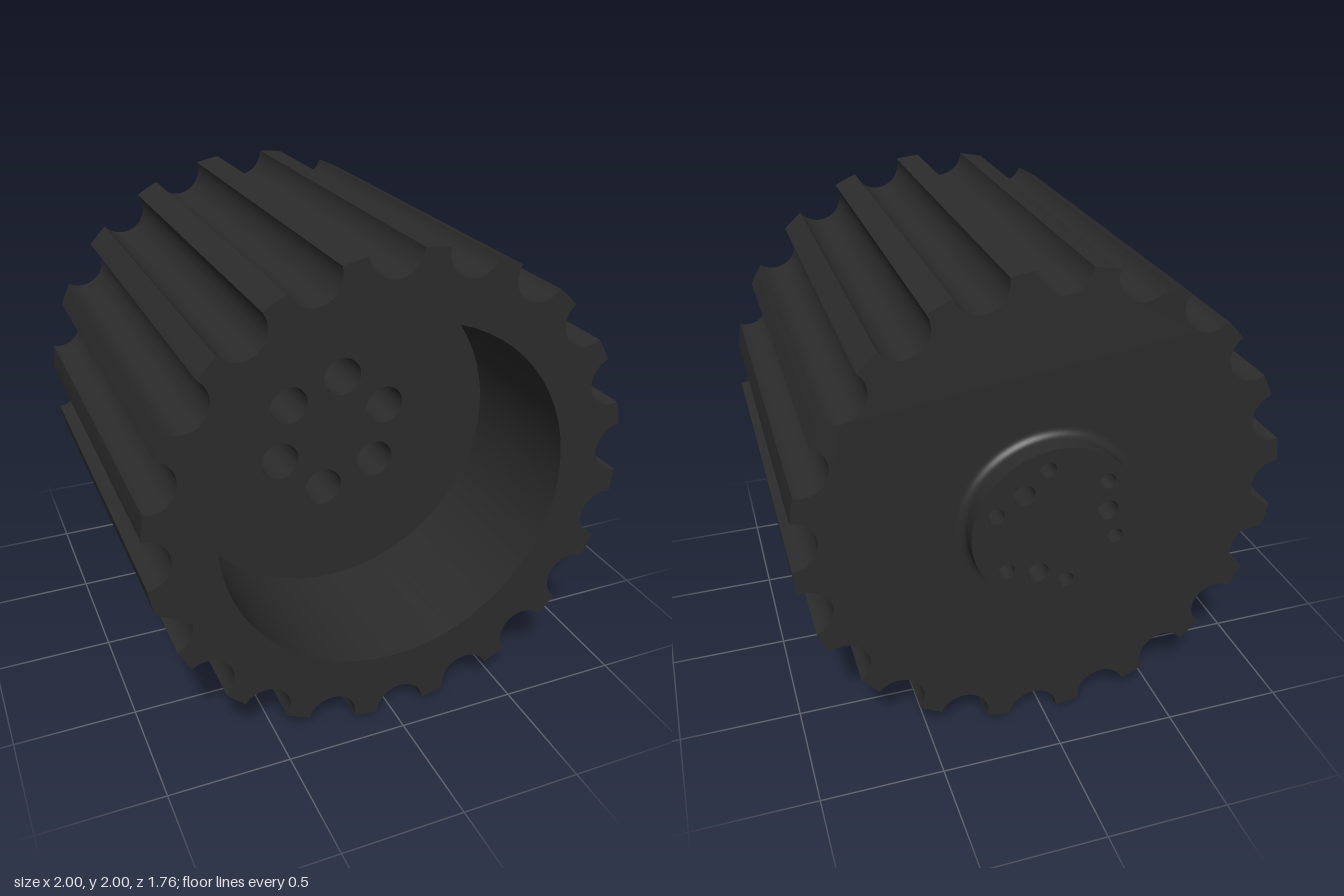
import * as THREE from 'three';
import { toCreasedNormals } from 'three/addons/utils/BufferGeometryUtils.js';

const FRONT = 0.88, FLOOR = 0.25, SEAT = -0.6, BACK = -0.78, HUB = -0.88;
const FLUTES = 20, FLUTE_R = 0.105;
const PHASE = THREE.MathUtils.degToRad(2.4);
const HUB_R = 0.34, FILLET = 0.035, BORE_R = 0.725;

// Positions of n holes on a bolt circle
function boltCircle(n, radius, angle) {
  return Array.from({ length: n }, (_, i) => {
    const a = angle + (i * 2 * Math.PI) / n;
    return [radius * Math.cos(a), radius * Math.sin(a)];
  });
}
const SCREWS = boltCircle(6, 0.26, PHASE + Math.PI / 10);
const DOWELS = boltCircle(3, 0.21, PHASE + Math.PI / 10 + Math.PI / 6);

const circle = (x, y, r, S = THREE.Path) => new S().absarc(x, y, r, 0, 2 * Math.PI, false);

// Round outline with semicircular flutes cut around the rim
function flutedOutline() {
  const s = new THREE.Shape();
  const step = (2 * Math.PI) / FLUTES;
  const half = 2 * Math.asin(FLUTE_R / 2), sweep = Math.acos(FLUTE_R / 2);
  for (let i = 0; i < FLUTES; i++) {
    const a = PHASE + i * step;
    s.absarc(Math.cos(a), Math.sin(a), FLUTE_R, a + Math.PI + sweep, a + Math.PI - sweep, true);
    s.absarc(0, 0, 1, a + half, a + step - half, false);
  }
  return s;
}

export function createModel() {
  const model = new THREE.Group();
  model.name = 'flutedDrum';
  const mat = new THREE.MeshStandardMaterial({ color: 0x2c2c2c, side: THREE.DoubleSide });

  const add = (name, geo, x = 0, y = 0, z = 0) => {
    const m = new THREE.Mesh(geo, mat);
    m.name = name;
    m.position.set(x, y + 1, z);
    model.add(m);
    return m;
  };
  // Flat face at depth z with round holes
  const face = (name, shape, holes, z) => {
    shape.holes.push(...holes);
    add(name, new THREE.ShapeGeometry(shape, 32), 0, 0, z);
  };
  // Open round wall between two depths
  const wall = (name, x, y, r, z0, z1, seg = 32) =>
    add(name, new THREE.CylinderGeometry(r, r, z1 - z0, seg, 1, true).rotateX(Math.PI / 2), x, y, (z0 + z1) / 2);

  // Fluted outer wall: the sides of an extrusion, without its caps
  const ext = new THREE.ExtrudeGeometry(flutedOutline(), { depth: FRONT - BACK, bevelEnabled: false, curveSegments: 32 });
  const { start, count } = ext.groups[1];
  const sides = new THREE.BufferGeometry();
  sides.setAttribute('position', new THREE.BufferAttribute(ext.attributes.position.array.slice(start * 3, (start + count) * 3), 3));
  add('flutedWall', toCreasedNormals(sides, 0.6), 0, 0, BACK);

  // Front rim, deep bore and its floor
  face('frontRim', flutedOutline(), [circle(0, 0, BORE_R)], FRONT);
  wall('boreWall', 0, 0, BORE_R, FLOOR, FRONT, 64);
  face('boreFloor', circle(0, 0, BORE_R, THREE.Shape), SCREWS.map(([x, y]) => circle(x, y, 0.085)), FLOOR);

  // Back face and hub with a concave fillet at its foot
  face('backFace', flutedOutline(), [circle(0, 0, HUB_R + FILLET)], BACK);
  const profile = [];
  for (let i = 0; i <= 8; i++) {
    const t = (i / 8) * Math.PI / 2;
    profile.push(new THREE.Vector2(HUB_R + FILLET * (1 - Math.sin(t)), FILLET * (1 - Math.cos(t))));
  }
  profile.push(new THREE.Vector2(HUB_R, BACK - HUB));
  add('hub', new THREE.LatheGeometry(profile, 64).rotateX(-Math.PI / 2), 0, 0, BACK);
  face('hubFace', circle(0, 0, HUB_R, THREE.Shape), [
    ...SCREWS.map(([x, y]) => circle(x, y, 0.033)),
    ...DOWELS.map(([x, y]) => circle(x, y, 0.043)),
  ], HUB);

  // Counterbored screw holes running right through
  for (const [x, y] of SCREWS) {
    wall('counterbore', x, y, 0.085, SEAT, FLOOR);
    add('screwSeat', new THREE.RingGeometry(0.033, 0.085, 32), x, y, SEAT);
    wall('screwHole', x, y, 0.033, HUB, SEAT);
  }
  // Blind dowel holes in the hub
  for (const [x, y] of DOWELS) {
    wall('dowelHole', x, y, 0.043, HUB, HUB + 0.2);
    add('dowelHoleEnd', new THREE.CircleGeometry(0.043, 32), x, y, HUB + 0.2);
  }
  return model;
}
